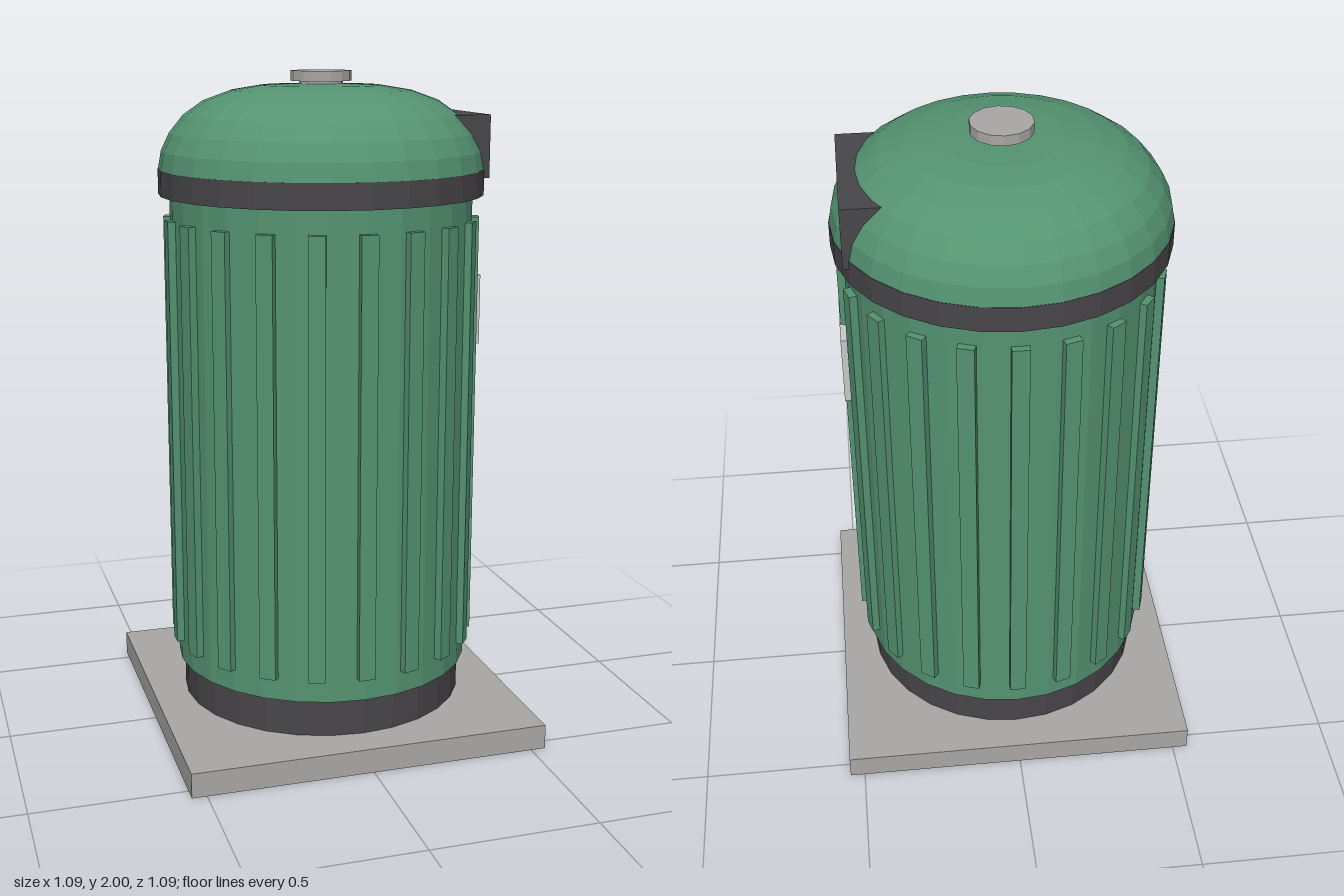
import * as THREE from 'three';

const SIDES = 28;

function material(name, color) {
  const m = new THREE.MeshStandardMaterial({ color, flatShading: true });
  m.name = name;
  return m;
}

export function createModel() {
  const group = new THREE.Group();
  group.name = 'litterBin';
  const green = material('green', 0x559472);
  const dark = material('charcoal', 0x48464a);
  const stone = material('warmGrey', 0xaaa8a6);
  const pale = material('paleGrey', 0xc8c9cb);

  function add(name, geometry, mat, x = 0, y = 0, z = 0, parent = group) {
    const mesh = new THREE.Mesh(geometry, mat);
    mesh.name = name;
    mesh.position.set(x, y, z);
    parent.add(mesh);
    return mesh;
  }
  function drum(name, radius, y0, y1, mat, sides = SIDES) {
    return add(name, new THREE.CylinderGeometry(radius, radius, y1 - y0, sides), mat, 0, (y0 + y1) / 2);
  }

  // Ground slab and drum
  add('slab', new THREE.BoxGeometry(1.09, 0.075, 1.09), stone, 0, 0.0375);
  drum('footRing', 0.437, 0.07, 0.19, dark);
  drum('body', 0.455, 0.19, 1.65, green);

  // Vertical ribs around the drum
  const ribs = new THREE.Group();
  ribs.name = 'ribs';
  group.add(ribs);
  const ribGeometry = new THREE.BoxGeometry(0.05, 1.31, 0.04);
  for (let i = 0; i < 20; i++) {
    const a = (i / 20) * Math.PI * 2;
    const rib = add('rib', ribGeometry, green, Math.sin(a) * 0.455, 0.915, Math.cos(a) * 0.455, ribs);
    rib.rotation.y = a;
  }

  // Lid: rim, dome and knob
  drum('lidRim', 0.488, 1.64, 1.715, dark);
  const profile = [
    [0.487, 1.714], [0.477, 1.768], [0.452, 1.82], [0.41, 1.872],
    [0.35, 1.914], [0.27, 1.943], [0.18, 1.958], [0, 1.964],
  ].map(([r, y]) => new THREE.Vector2(r, y));
  add('dome', new THREE.LatheGeometry(profile, SIDES), green);
  drum('knobStem', 0.065, 1.95, 1.975, stone, 14);
  drum('knob', 0.09, 1.97, 2.0, stone, 14);

  // Arched hood over the side opening
  const arch = new THREE.Shape();
  arch.moveTo(0.18, 1.69);
  arch.lineTo(0.215, 1.69);
  arch.lineTo(0.215, 1.875);
  arch.lineTo(-0.215, 1.875);
  arch.lineTo(-0.215, 1.69);
  arch.lineTo(-0.18, 1.69);
  arch.absellipse(0, 1.69, 0.18, 0.14, Math.PI, 0, true);
  const hood = new THREE.ExtrudeGeometry(arch, { depth: 0.125, bevelEnabled: false, curveSegments: 12 });
  hood.rotateY(Math.PI / 2);
  add('hood', hood, dark, 0.33);

  // Blank sign plate
  add('signPlate', new THREE.BoxGeometry(0.03, 0.215, 0.22), pale, 0.463, 1.277);

  return group;
}
